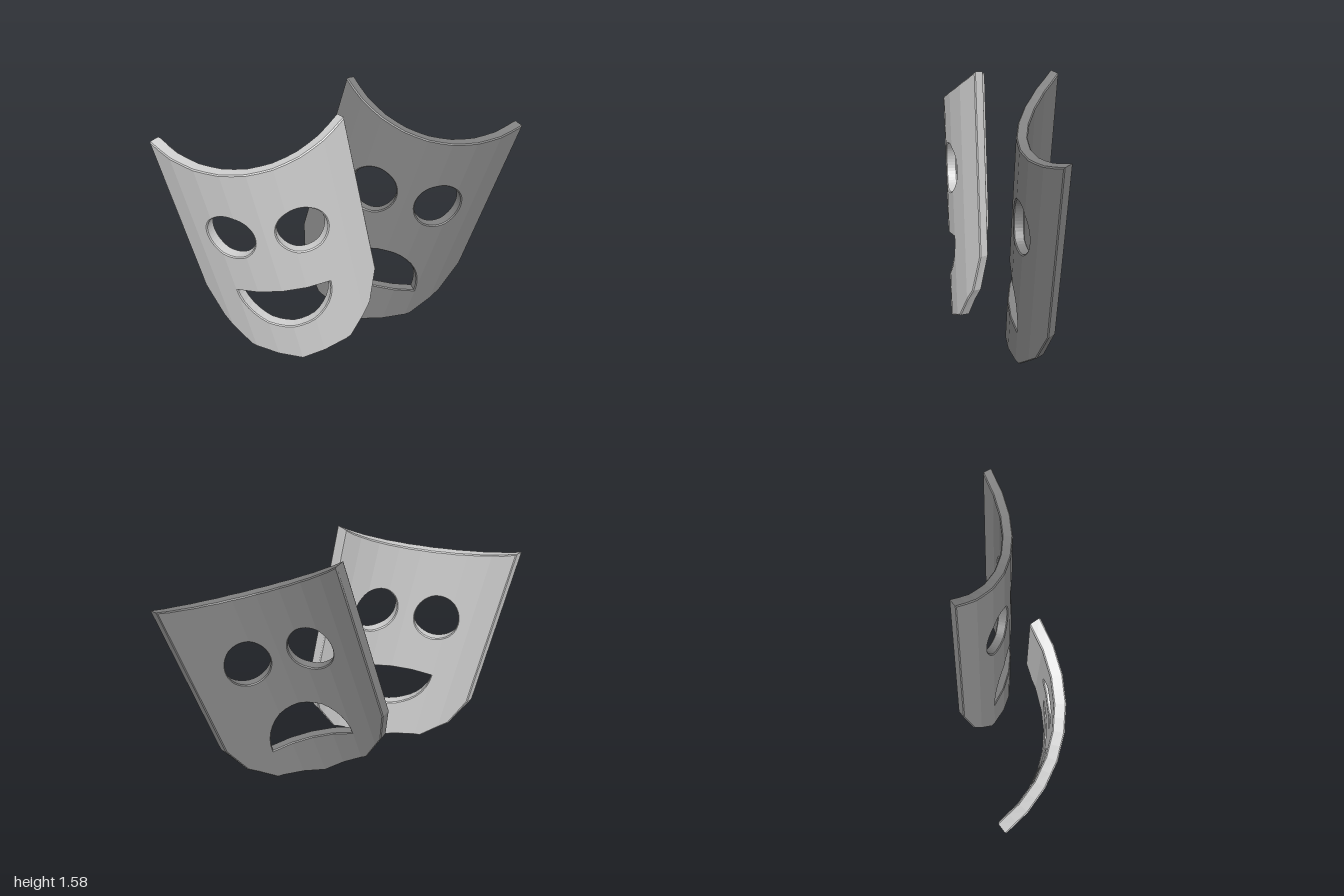
import * as THREE from 'three';

const R = 0.745;       // radius of the mask's outer curve
const HALF = 0.565;    // half of the arc length across the mask
const THICK = 0.062;
const STRIPS = 8;      // flat facets across the curve

// Flat mask outline: concave top, straight sides, tapered chin, eye and mouth holes
function maskShape(happy) {
  const pts = [];
  for (let i = 0; i <= 16; i++) {
    const t = 1 - i / 8;
    pts.push(new THREE.Vector2(t * HALF, 1.409 + 0.138 * t * t));
  }
  const chin = [[0.565, 0.53], [0.485, 0.32], [0.32, 0.135]];
  chin.forEach(([x, y]) => pts.push(new THREE.Vector2(-x, y)));
  pts.push(new THREE.Vector2(0, 0.045));
  chin.reverse().forEach(([x, y]) => pts.push(new THREE.Vector2(x, y)));
  const shape = new THREE.Shape(pts);

  for (const side of [-1, 1]) {
    shape.holes.push(new THREE.Path().absarc(side * 0.203, 1.0, 0.142, 0, Math.PI * 2, false));
  }
  // Half-round mouth, curved down for a smile and up for a frown
  const mouth = [];
  for (let i = 0; i <= 18; i++) {
    const a = Math.PI * i / 18;
    const y = 0.278 * Math.sin(a);
    mouth.push(new THREE.Vector2(0.276 * Math.cos(a), happy ? 0.6 - y : 0.342 + y));
  }
  shape.holes.push(new THREE.Path(mouth));
  return shape;
}

// Keep the part of a polygon where sign * (x - limit) >= 0
function clip(poly, limit, sign) {
  const out = [];
  poly.forEach((p, i) => {
    const q = poly[(i + 1) % poly.length];
    const dp = sign * (p.x - limit), dq = sign * (q.x - limit);
    if (dp >= 0) out.push(p);
    if ((dp > 0 && dq < 0) || (dp < 0 && dq > 0)) out.push(p.clone().lerp(q, dp / (dp - dq)));
  });
  return out;
}

// Slice the flat plate into upright strips and fold them around the curve
function bend(flat) {
  const src = flat.index ? flat.toNonIndexed() : flat;
  const pos = src.attributes.position;
  const out = [];
  const onArc = (s, y, n) => new THREE.Vector3(
    (R + n) * Math.sin(s / R), y, (R + n) * Math.cos(s / R) - R * Math.cos(HALF / R));
  const step = 2 * HALF / STRIPS;
  for (let t = 0; t < pos.count; t += 3) {
    const tri = [0, 1, 2].map(k => new THREE.Vector3().fromBufferAttribute(pos, t + k));
    for (let i = 0; i < STRIPS; i++) {
      const a = -HALF + i * step, b = a + step;
      // the outer strips also take any rounding overshoot
      const poly = clip(clip(tri, i === 0 ? a - 0.01 : a, 1), i === STRIPS - 1 ? b + 0.01 : b, -1);
      const folded = poly.map(p => onArc(a, p.y, p.z).lerp(onArc(b, p.y, p.z), (p.x - a) / step));
      for (let k = 1; k + 1 < folded.length; k++) {
        const [A, B, C] = [folded[0], folded[k], folded[k + 1]];
        const area = B.clone().sub(A).cross(C.clone().sub(A)).length();
        if (area > 1e-10) for (const p of [A, B, C]) out.push(p.x, p.y, p.z);
      }
    }
  }
  const geo = new THREE.BufferGeometry();
  geo.setAttribute('position', new THREE.Float32BufferAttribute(out, 3));
  geo.computeVertexNormals();
  return geo;
}

function makeMask(name, happy, color) {
  const bevel = 0.006;
  const flat = new THREE.ExtrudeGeometry(maskShape(happy), {
    depth: THICK - 2 * bevel, curveSegments: 24,
    bevelEnabled: true, bevelThickness: bevel, bevelSize: bevel, bevelOffset: -bevel, bevelSegments: 1,
  });
  flat.translate(0, 0, bevel - THICK);
  const mesh = new THREE.Mesh(bend(flat), new THREE.MeshStandardMaterial({ color, flatShading: true }));
  mesh.name = name;
  return mesh;
}

export function createModel() {
  const group = new THREE.Group();
  group.name = 'theatreMasks';

  // Smiling mask in front, leaning to one side
  const happy = makeMask('smilingMask', true, 0xcccccc);
  happy.position.set(-0.221, -0.041, 0.086);
  happy.rotation.set(0, -0.127, 0.181, 'ZYX');

  // Frowning mask behind, leaning the other way
  const sad = makeMask('frowningMask', false, 0x808080);
  sad.scale.set(0.98, 0.993, 0.93);
  sad.position.set(0.123, -0.033, -0.19);
  sad.rotation.set(0, -0.127, -0.262, 'ZYX');

  group.add(happy, sad);
  return group;
}
